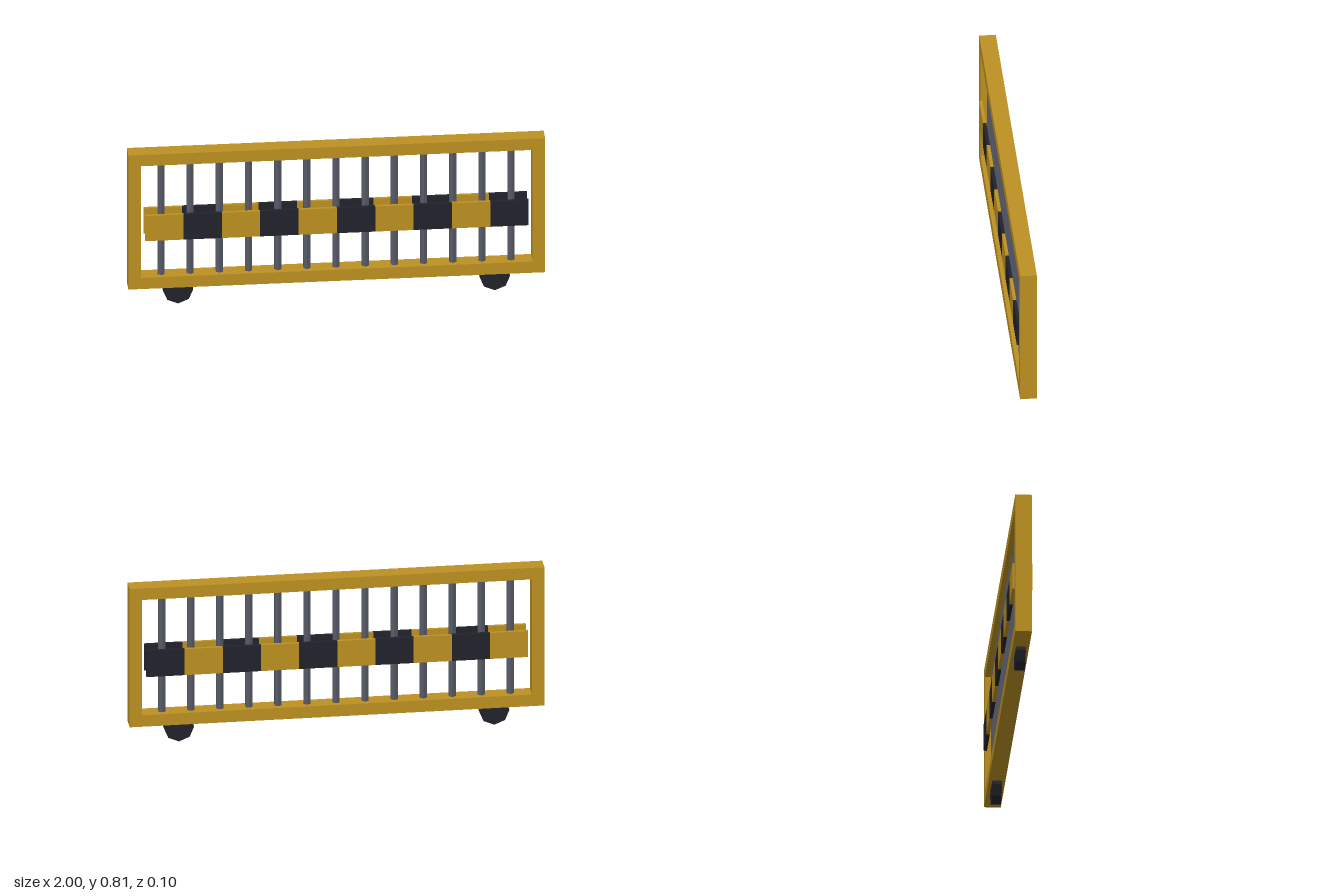
import * as THREE from 'three';

export function createModel() {
  const model = new THREE.Group();
  model.name = 'rollingBarrier';

  const material = (name, color, flatShading = false) => {
    const m = new THREE.MeshStandardMaterial({ color, flatShading });
    m.name = name;
    return m;
  };
  const yellow = material('safetyYellow', 0xbd9122);
  const black = material('darkRubber', 0x22222c, true);
  const steel = material('greySteel', 0x575b67, true);

  const add = (name, geometry, mat, x = 0, y = 0, z = 0) => {
    const mesh = new THREE.Mesh(geometry, mat);
    mesh.name = name;
    mesh.position.set(x, y, z);
    model.add(mesh);
    return mesh;
  };

  // Outer frame with one rectangular opening
  const bottom = 0.094, top = 0.814, rail = 0.06, depth = 0.08;
  const rectangle = (PathType, x, y0, y1) => new PathType([
    new THREE.Vector2(-x, y0), new THREE.Vector2(x, y0),
    new THREE.Vector2(x, y1), new THREE.Vector2(-x, y1),
  ]);
  const outline = rectangle(THREE.Shape, 1, bottom, top);
  outline.holes.push(rectangle(THREE.Path, 1 - rail, bottom + rail, top - rail));
  const frame = new THREE.ExtrudeGeometry(outline, { depth, bevelEnabled: false });
  add('frame', frame, yellow, 0, 0, -depth / 2);

  // Thirteen six-sided upright bars
  const bar = new THREE.CylinderGeometry(0.019, 0.019, top - bottom - rail * 2, 6);
  for (let i = -6; i <= 6; i++) add('uprightBar', bar, steel, i * 0.14, (top + bottom) / 2);

  // Striped warning boards on both faces
  const width = 0.184;
  const stripe = new THREE.BoxGeometry(width, 0.135, 0.016);
  for (const side of [1, -1]) {
    for (let i = 0; i < 10; i++) {
      add(side > 0 ? 'frontBoardStripe' : 'backBoardStripe', stripe,
        i % 2 ? black : yellow, (i - 4.5) * width, 0.422, side * 0.04);
    }
  }

  // Eight-sided wheels partly sunk into the bottom rail
  const radius = 0.073;
  const wheel = new THREE.CylinderGeometry(radius, radius, 0.046, 8).rotateX(Math.PI / 2);
  for (const side of [1, -1]) add(side > 0 ? 'leftWheel' : 'rightWheel', wheel, black, side * 0.76, radius);

  return model;
}
